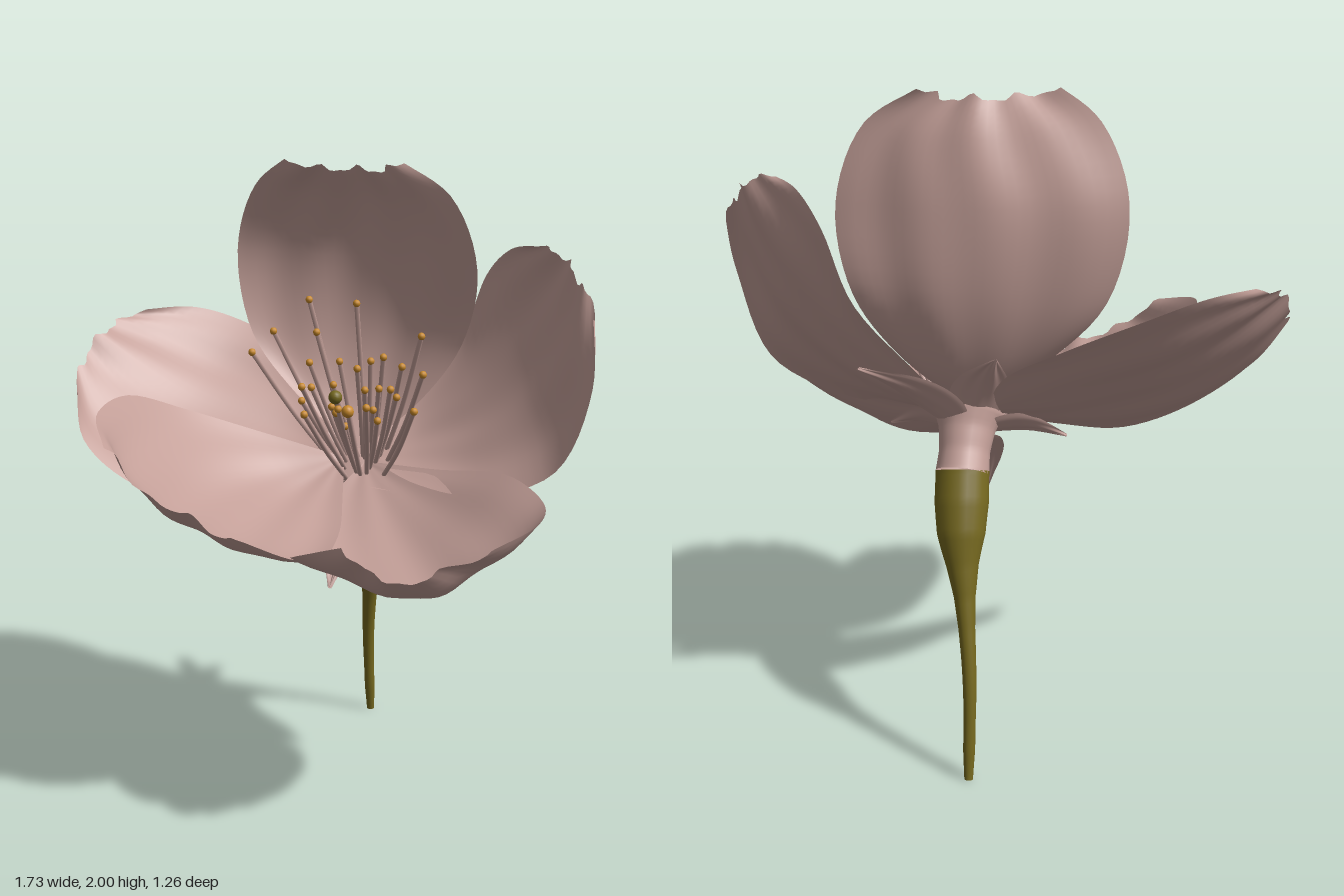
import * as THREE from 'three';

const mat = (name, color, side = THREE.FrontSide) => {
  const m = new THREE.MeshStandardMaterial({ color, side });
  m.name = name;
  return m;
};
const V = (p) => new THREE.Vector3(...p);

// Petal skin: three rails (edge, middle, edge) fanning out from a base point,
// joined by a parabola across, with soft ripples and an uneven rim.
function petalGeometry(base, rows, seed, ripple = 0.01, ragged = 0.04) {
  const rails = [0, 1, 2].map((k) => new THREE.CatmullRomCurve3(
    [V(base), ...rows.map((r) => V(r[k]))], false, 'centripetal'));
  const nu = 28, nv = 28;
  const g = new THREE.PlaneGeometry(1, 1, nu, nv);
  const pos = g.attributes.position;
  for (let j = 0; j <= nv; j++) {
    for (let i = 0; i <= nu; i++) {
      const u = i / nu, v = j / nv;
      const rim = 0.5 + 0.3 * Math.sin(u * 19 + seed) + 0.2 * Math.sin(u * 41 + seed * 3);
      const t = v * (1 - ragged * rim * v * v);
      const [a, b, c] = rails.map((r) => r.getPoint(t));
      const p = a.multiplyScalar((1 - u) * (1 - 2 * u))
        .addScaledVector(b, 4 * u * (1 - u))
        .addScaledVector(c, u * (2 * u - 1));
      pos.setXYZ(j * (nu + 1) + i, p.x, p.y, p.z);
    }
  }
  g.computeVertexNormals();
  const n = g.attributes.normal;
  for (let j = 0; j <= nv; j++) {
    for (let i = 0; i <= nu; i++) {
      const k = j * (nu + 1) + i, u = i / nu, v = j / nv;
      const d = ripple * v * (Math.sin(u * 11 + seed + v * 2) + 0.6 * Math.sin(u * 23 - v * 5 + seed * 2));
      pos.setXYZ(k, pos.getX(k) + n.getX(k) * d, pos.getY(k) + n.getY(k) * d, pos.getZ(k) + n.getZ(k) * d);
    }
  }
  g.computeVertexNormals();
  return g;
}

// Tube whose radius follows a list of values along its length
function taperedTube(points, radii, segments, sides, closeEnd = false) {
  const curve = new THREE.CatmullRomCurve3(points.map(V));
  const g = new THREE.TubeGeometry(curve, segments, 1, sides);
  const pos = g.attributes.position, p = new THREE.Vector3();
  for (let i = 0; i <= segments; i++) {
    const t = i / segments, c = curve.getPointAt(t);
    const f = t * (radii.length - 1), k = Math.min(Math.floor(f), radii.length - 2);
    let r = THREE.MathUtils.lerp(radii[k], radii[k + 1], f - k);
    if (closeEnd && i === segments) r = 0;
    for (let j = 0; j <= sides; j++) {
      const id = i * (sides + 1) + j;
      p.fromBufferAttribute(pos, id).sub(c).multiplyScalar(r).add(c);
      pos.setXYZ(id, p.x, p.y, p.z);
    }
  }
  g.computeVertexNormals();
  return g;
}

// Rows of [edge, middle, edge] from the base of each petal to its rim
const PETALS = {
  backPetal: [[0.07, 1.05, -0.28], [
    [[-0.18, 1.24, -0.35], [0.05, 1.2, -0.38], [0.28, 1.24, -0.33]],
    [[-0.34, 1.43, -0.4], [0.04, 1.42, -0.44], [0.4, 1.42, -0.34]],
    [[-0.39, 1.7, -0.41], [0.03, 1.68, -0.43], [0.45, 1.66, -0.27]],
    [[-0.31, 1.91, -0.35], [0.05, 1.86, -0.37], [0.37, 1.88, -0.24]],
    [[-0.17, 2.01, -0.29], [0.03, 1.98, -0.31], [0.19, 2.0, -0.28]]]],
  leftPetal: [[0.1, 1.04, -0.27], [
    [[0.22, 1.22, -0.41], [0.27, 1.1, -0.3], [0.3, 1.0, -0.1]],
    [[0.37, 1.42, -0.47], [0.46, 1.2, -0.26], [0.52, 1.0, 0]],
    [[0.45, 1.63, -0.47], [0.61, 1.37, -0.24], [0.75, 1.1, 0.06]],
    [[0.54, 1.72, -0.38], [0.71, 1.55, -0.2], [0.85, 1.35, 0.09]],
    [[0.64, 1.75, -0.28], [0.76, 1.7, -0.18], [0.83, 1.58, -0.05]]]],
  frontLeftPetal: [[0.1, 1.03, -0.24], [
    [[0.02, 0.94, -0.1], [0.2, 0.94, -0.1], [0.36, 1.04, -0.14]],
    [[-0.03, 0.87, 0.1], [0.3, 0.85, 0.08], [0.6, 1.07, 0]],
    [[0, 0.86, 0.3], [0.38, 0.81, 0.28], [0.73, 1.03, 0.15]],
    [[0.08, 0.91, 0.46], [0.43, 0.81, 0.46], [0.74, 1.01, 0.33]],
    [[0.23, 0.97, 0.57], [0.41, 0.91, 0.63], [0.62, 0.98, 0.54]]]],
  frontRightPetal: [[0.03, 1.04, -0.24], [
    [[-0.25, 1.12, -0.2], [-0.1, 0.97, -0.1], [0.06, 0.95, -0.1]],
    [[-0.47, 1.2, -0.1], [-0.2, 0.94, 0.08], [0.1, 0.88, 0.1]],
    [[-0.6, 1.27, 0.08], [-0.27, 0.94, 0.27], [0.1, 0.86, 0.3]],
    [[-0.61, 1.25, 0.32], [-0.29, 0.97, 0.45], [0.05, 0.9, 0.46]],
    [[-0.5, 1.19, 0.52], [-0.27, 1.05, 0.58], [-0.07, 0.97, 0.56]]]],
  rightPetal: [[0.02, 1.05, -0.28], [
    [[-0.05, 1.2, -0.44], [-0.15, 1.07, -0.33], [-0.2, 0.97, -0.15]],
    [[-0.22, 1.32, -0.57], [-0.35, 1.12, -0.33], [-0.4, 0.92, -0.02]],
    [[-0.42, 1.42, -0.62], [-0.55, 1.19, -0.31], [-0.6, 0.97, 0.05]],
    [[-0.6, 1.48, -0.57], [-0.73, 1.3, -0.28], [-0.78, 1.1, 0.04]],
    [[-0.77, 1.48, -0.42], [-0.86, 1.41, -0.25], [-0.86, 1.27, -0.08]]]],
};

const SEPAL_TIPS = [[0.05, 0.67, 0.03], [0.35, 1.25, -0.53], [-0.03, 1.27, -0.48],
  [0.33, 0.95, -0.13], [-0.22, 0.95, -0.2]];

const ANTHERS = [
  [-0.22, 1.41, -0.03], [-0.17, 1.47, -0.1], [-0.06, 1.57, -0.13], [0.09, 1.56, -0.15], [0.34, 1.37, 0.02],
  [0.31, 1.47, -0.1], [0.34, 1.28, 0.15], [0.26, 1.38, -0.05], [0.19, 1.4, -0.1], [0.12, 1.37, -0.04],
  [0.03, 1.37, -0.17], [-0.03, 1.47, -0.11], [0.19, 1.28, 0.13], [0.24, 1.32, 0.02], [-0.02, 1.33, 0.1],
  [0.01, 1.26, 0.18], [0.1, 1.27, 0.12], [0.14, 1.3, -0.06], [-0.02, 1.31, -0.01], [0.07, 1.24, 0.03],
  [0.17, 1.24, -0.05], [0.1, 1.2, 0.03], [0.03, 1.24, -0.07], [0.19, 1.31, -0.04], [-0.04, 1.38, -0.06],
  [0.14, 1.38, -0.14], [0.2, 1.22, 0.02], [0.02, 1.3, -0.13], [0.24, 1.28, -0.07], [-0.06, 1.26, -0.04]];

export function createModel() {
  const model = new THREE.Group();
  model.name = 'blossom';
  const pink = mat('petal pink', 0xc39f98, THREE.DoubleSide);
  const olive = mat('stem olive', 0x75681f, THREE.DoubleSide);
  const amber = mat('anther amber', 0xc98a2b);
  const add = (name, geometry, material, parent = model) => {
    const m = new THREE.Mesh(geometry, material);
    m.name = name;
    parent.add(m);
    return m;
  };
  const group = (name) => {
    const g = new THREE.Group();
    g.name = name;
    model.add(g);
    return g;
  };

  // Stem swelling into the cup, then the pink throat
  add('stem', taperedTube(
    [[0.04, 0, -0.62], [0.04, 0.3, -0.575], [0.06, 0.55, -0.51], [0.075, 0.7, -0.455], [0.08, 0.89, -0.37]],
    [0.013, 0.018, 0.018, 0.02, 0.022, 0.025, 0.032, 0.048, 0.072, 0.081, 0.08], 60, 20), olive);
  add('throat', taperedTube([[0.08, 0.885, -0.373], [0.075, 0.97, -0.32], [0.07, 1.05, -0.265]],
    [0.08, 0.076, 0.085, 0.11], 16, 20, true), pink);

  // Petals
  const petals = group('petals');
  Object.entries(PETALS).forEach(([name, [base, rows]], i) =>
    add(name, petalGeometry(base, rows, i * 1.7 + 0.4), pink, petals));

  // Sepals: pointed, cupped leaves spreading from under the petals
  const axis = new THREE.Vector3(0, 0.83, 0.55).normalize();
  const sepals = group('sepals');
  const root = new THREE.Vector3(0.07, 0.98, -0.31);
  SEPAL_TIPS.forEach((tip, i) => {
    const end = V(tip);
    const side = end.clone().sub(root).cross(axis).normalize();
    const rows = [0.075, 0.085, 0.068, 0.036, 0.004].map((w, k) => {
      const t = (k + 1) / 5;
      const mid = root.clone().lerp(end, t).addScaledVector(axis, 0.02 * Math.sin(Math.PI * t));
      return [-w, 0, w].map((s) => mid.clone().addScaledVector(side, s)
        .addScaledVector(axis, Math.abs(s) * 0.35).toArray());
    });
    add('sepal', petalGeometry(root.toArray(), rows, i, 0.003, 0), pink, sepals);
  });

  // Stamens: filaments rising from a ring and bending out to their anthers
  const stamens = group('stamens');
  const heart = new THREE.Vector3(0.07, 1.03, -0.27);
  const filament = (tip, spread, radius) => {
    const out = tip.clone().sub(heart);
    const rise = out.dot(axis);
    out.addScaledVector(axis, -rise);
    const foot = heart.clone().addScaledVector(out, spread);
    const bend = heart.clone().addScaledVector(out, spread * 0.5 + 0.5).addScaledVector(axis, rise * 0.45);
    return new THREE.TubeGeometry(new THREE.CatmullRomCurve3([foot, bend, tip]), 12, radius, 6);
  };
  ANTHERS.forEach((a) => {
    const tip = V(a);
    add('filament', filament(tip, 0.36, 0.008), pink, stamens);
    add('anther', new THREE.SphereGeometry(0.012, 10, 8), amber, stamens).position.copy(tip);
  });
  const front = new THREE.Vector3(0.15, 1.28, 0.2);
  add('filament', filament(front, 0.3, 0.008), pink, stamens);
  add('anther', new THREE.SphereGeometry(0.019, 12, 10), amber, stamens).position.copy(front);

  // Pistil
  const stigma = new THREE.Vector3(0.055, 1.28, -0.02);
  add('style', filament(stigma, 0, 0.011), pink);
  add('stigma', new THREE.SphereGeometry(0.022, 12, 10), olive).position.copy(stigma);

  return model;
}
